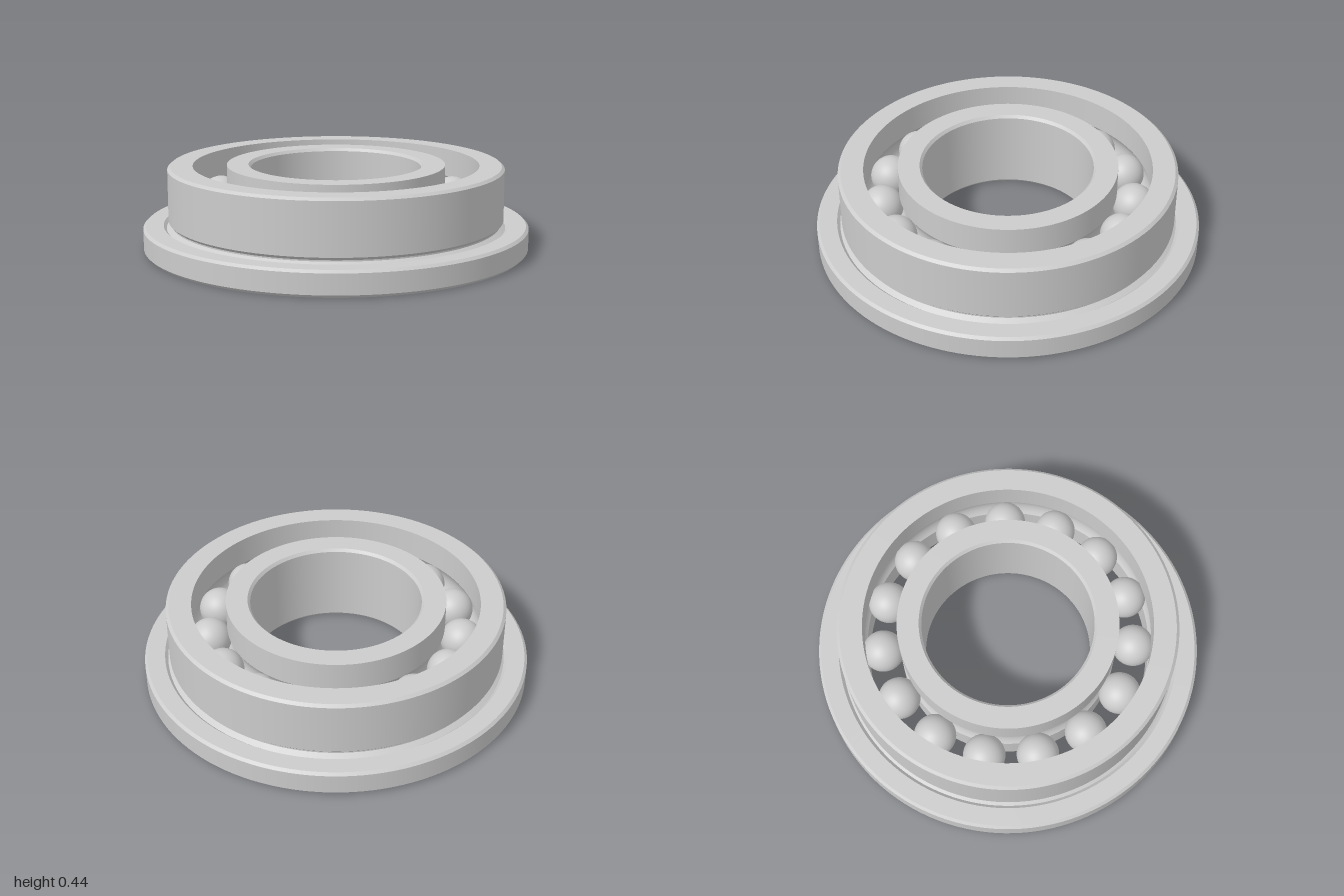
import * as THREE from 'three';
import { mergeGeometries } from 'three/addons/utils/BufferGeometryUtils.js';

const H = 0.435, MID = H / 2;        // ring height and race centre
const ORBIT = 0.653, BALL = 0.108;   // ball circle and ball radius
const BALLS = 15, SEGMENTS = 128;

const material = new THREE.MeshStandardMaterial({ color: 0xcccccc });

// Ball race: arc around the ball circle between the two edges of a wall at radius r.
// side +1 cuts the outer ring (runs downward), -1 the inner ring (runs upward).
function race(r, side) {
  const gap = Math.abs(r - ORBIT), R = BALL + 0.002;
  const a = Math.acos(gap / R);
  const arc = [];
  for (let i = 0; i <= 12; i++) {
    const t = a - (2 * a * i) / 12;
    arc.push([ORBIT + side * R * Math.cos(t), MID + side * R * Math.sin(t)]);
  }
  return arc;
}

// Revolve a closed counter-clockwise outline made of strips;
// each strip is smooth, with a sharp edge between strips.
function revolve(name, strips) {
  const lathe = (pts) => new THREE.LatheGeometry(pts.map(([x, y]) => new THREE.Vector2(x, y)), SEGMENTS);
  const parts = strips.map((strip, i) => {
    const next = strips[(i + 1) % strips.length][0];
    const pieces = [];
    if (strip.length > 1) pieces.push(lathe(strip));
    pieces.push(lathe([strip[strip.length - 1], next]));
    return mergeGeometries(pieces);
  });
  const mesh = new THREE.Mesh(mergeGeometries(parts), material);
  mesh.name = name;
  return mesh;
}

const corners = (...pts) => pts.map((p) => [p]);

export function createModel() {
  const model = new THREE.Group();
  model.name = 'flangedBallBearing';

  // Outer ring: flange, relief groove, chamfered body, ball race
  model.add(revolve('outerRing', [
    ...corners(
      [0.74, 0], [0.985, 0], [1, 0.015], [1, 0.118], [0.986, 0.131],
      [0.895, 0.131], [0.88, 0.116], [0.855, 0.134], [0.855, 0.141],
      [0.87, 0.156], [0.87, 0.422], [0.855, H], [0.74, H]),
    race(0.74, 1),
  ]));

  // Inner ring: chamfered bore, ball race on the outside
  model.add(revolve('innerRing', [
    ...corners([0.44, 0.015], [0.453, 0], [0.565, 0]),
    race(0.565, -1),
    ...corners([0.565, H], [0.453, H], [0.44, H - 0.015]),
  ]));

  // Balls, the first one at the back
  const balls = new THREE.Group();
  balls.name = 'balls';
  const ballGeometry = new THREE.SphereGeometry(BALL, 40, 24);
  for (let i = 0; i < BALLS; i++) {
    const a = (i / BALLS) * Math.PI * 2;
    const ball = new THREE.Mesh(ballGeometry, material);
    ball.name = 'ball';
    ball.position.set(ORBIT * Math.sin(a), MID, -ORBIT * Math.cos(a));
    balls.add(ball);
  }
  model.add(balls);
  return model;
}
